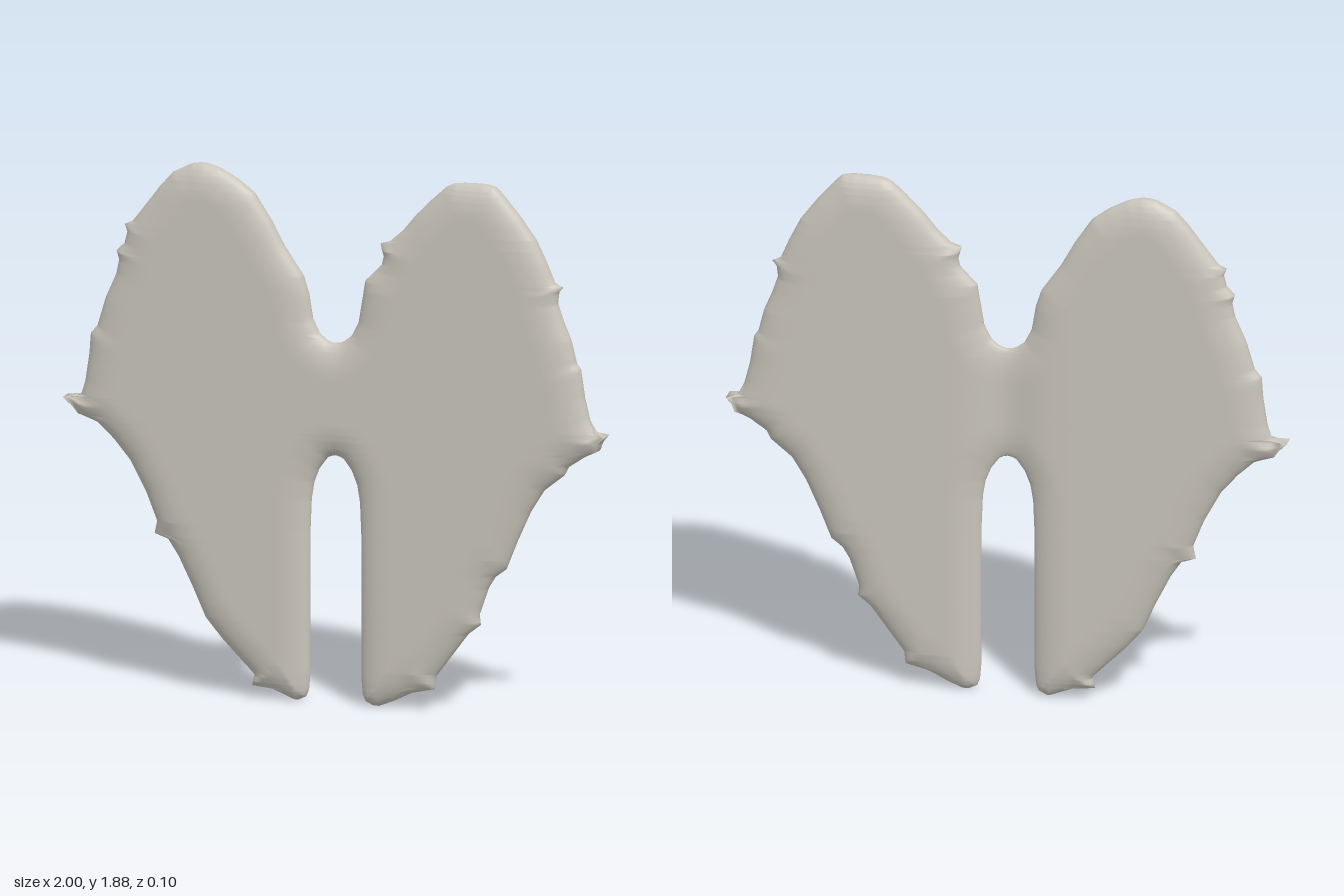
import * as THREE from 'three';
import { mergeVertices } from 'three/addons/utils/BufferGeometryUtils.js';

const HALF = 0.05;   // half thickness of the plate
const ROUND = 0.12;  // width of the rounded rim

// Outline points [distance from the midline, height], bottom to top
const innerLow = [[0.14, 0], [0.11, 0.015], [0.1, 0.04], [0.095, 0.1], [0.095, 0.6], [0.09, 0.72],
  [0.08, 0.78], [0.06, 0.83], [0.03, 0.87], [0.015, 0.877], [0, 0.88]];
const notch = [[0, 1.28], [0.015, 1.281], [0.03, 1.287], [0.06, 1.31], [0.085, 1.36], [0.1, 1.45]];

const leftInner = [...innerLow, ...notch, [0.11, 1.51], [0.14, 1.54], [0.17, 1.57], [0.178, 1.6],
  [0.165, 1.645], [0.2, 1.655], [0.25, 1.7], [0.3, 1.76], [0.36, 1.82], [0.41, 1.865], [0.44, 1.88], [0.5, 1.885]];
const leftOuter = [[0.16, 0], [0.22, 0.025], [0.28, 0.055], [0.365, 0.075], [0.37, 0.12], [0.43, 0.2],
  [0.49, 0.28], [0.535, 0.315], [0.53, 0.35], [0.565, 0.45], [0.59, 0.49], [0.63, 0.52], [0.67, 0.62],
  [0.72, 0.73], [0.77, 0.81], [0.845, 0.87], [0.86, 0.9], [0.92, 0.94], [0.97, 0.965], [0.98, 0.995],
  [1, 1.02], [0.96, 1.03], [0.94, 1.07], [0.92, 1.15], [0.905, 1.25], [0.89, 1.27], [0.87, 1.35],
  [0.84, 1.42], [0.82, 1.48], [0.825, 1.52], [0.84, 1.535], [0.81, 1.55], [0.78, 1.62], [0.74, 1.7],
  [0.68, 1.78], [0.61, 1.86], [0.59, 1.878], [0.55, 1.885]];

const rightInner = [...innerLow, ...notch, [0.12, 1.51], [0.19, 1.61], [0.24, 1.7], [0.3, 1.79],
  [0.36, 1.835], [0.43, 1.872], [0.48, 1.885]];
const rightOuter = [[0.15, 0], [0.2, 0.02], [0.24, 0.035], [0.31, 0.04], [0.3, 0.08], [0.35, 0.13],
  [0.42, 0.2], [0.48, 0.27], [0.53, 0.38], [0.58, 0.48], [0.62, 0.54], [0.67, 0.555], [0.66, 0.6],
  [0.7, 0.7], [0.76, 0.81], [0.82, 0.88], [0.88, 0.935], [0.95, 0.96], [0.97, 0.99], [1, 1.02],
  [0.94, 1.03], [0.925, 1.08], [0.91, 1.18], [0.905, 1.25], [0.88, 1.28], [0.85, 1.38], [0.81, 1.47],
  [0.8, 1.52], [0.81, 1.55], [0.78, 1.58], [0.77, 1.62], [0.78, 1.645], [0.75, 1.66], [0.68, 1.75],
  [0.65, 1.79], [0.6, 1.845], [0.53, 1.88], [0.5, 1.885]];

const halves = [
  { side: 1, inner: leftInner, outer: leftOuter },
  { side: -1, inner: rightInner, outer: rightOuter },
];

// Rim segments of both halves; the shared midline is not a rim
const rim = [];
for (const { side, inner, outer } of halves) {
  const loop = [...inner, ...[...outer].reverse()];
  loop.forEach((p, i) => {
    const q = loop[(i + 1) % loop.length];
    if (p[0] || q[0]) rim.push([p[0] * side, p[1], q[0] * side, q[1]]);
  });
}

function rimDistance(x, y) {
  let best = Infinity;
  for (const [ax, ay, bx, by] of rim) {
    const dx = bx - ax, dy = by - ay;
    const t = Math.min(1, Math.max(0, ((x - ax) * dx + (y - ay) * dy) / (dx * dx + dy * dy)));
    best = Math.min(best, Math.hypot(x - ax - t * dx, y - ay - t * dy));
  }
  return best;
}

// Width of an outline at height y
function widthAt(line, y) {
  for (let i = 1; i < line.length; i++) {
    const [ax, ay] = line[i - 1], [bx, by] = line[i];
    if (y <= by) return ax + (bx - ax) * Math.max(0, (y - ay) / (by - ay));
  }
  return line[line.length - 1][0];
}

// Elliptical rim, flat middle, slightly flared side tips
function thickness(x, y) {
  const d = rimDistance(x, y);
  const k = 1 - Math.min(1, d / ROUND);
  const round = d < 1e-5 ? 0 : HALF * Math.sqrt(1 - k * k);
  return Math.max(round, 0.03 * THREE.MathUtils.smoothstep(Math.abs(x), 0.92, 1));
}

// Heights of the cross-sections: every outline corner plus even-eased steps
function rowHeights() {
  const ys = halves.flatMap(h => [...h.inner, ...h.outer]).map(p => p[1]);
  for (const [a, b] of [[0, 0.88], [0.88, 1.28], [1.28, 1.885]])
    for (let i = 0; i <= 24; i++) ys.push(a + (b - a) * (1 - Math.cos(Math.PI * i / 24)) / 2);
  ys.sort((a, b) => a - b);
  return ys.filter((y, i) => i === 0 || y - ys[i - 1] > 1e-6);
}

function plateGeometry() {
  const cols = 40, ring = 2 * (cols + 1), rows = rowHeights();
  const positions = [], indices = [];
  for (const { side, inner, outer } of halves) {
    const base = positions.length / 3;
    for (const y of rows) {
      const a = widthAt(inner, y), b = widthAt(outer, y);
      const front = [], back = [];
      for (let c = 0; c <= cols; c++) {
        const x = side * (a + (b - a) * (1 - Math.cos(Math.PI * c / cols)) / 2);
        const t = thickness(x, y);
        const groove = 1 - 0.55 * Math.exp(-((x / 0.1) ** 2)); // shallow channel at the back
        front.push([x, y, t]);
        back.unshift([x, y, -t * groove]);
      }
      positions.push(...[...front, ...back].flat());
    }
    for (let r = 0; r < rows.length - 1; r++)
      for (let k = 0; k < ring - 1; k++) {
        const p = base + r * ring + k, q = p + 1, s = p + ring, t = s + 1;
        if (side > 0) indices.push(p, q, t, p, t, s);
        else indices.push(p, t, q, p, s, t);
      }
  }
  let geometry = new THREE.BufferGeometry();
  geometry.setAttribute('position', new THREE.Float32BufferAttribute(positions, 3));
  geometry.setIndex(indices);
  geometry = mergeVertices(geometry, 1e-4);
  geometry.computeVertexNormals();
  return geometry;
}

export function createModel() {
  const group = new THREE.Group();
  group.name = 'twoLobedPlate';
  const warmGrey = new THREE.MeshStandardMaterial({ color: 0xc8c4ba });
  warmGrey.name = 'warmGrey';
  const plate = new THREE.Mesh(plateGeometry(), warmGrey);
  plate.name = 'lobesAndBridge';
  group.add(plate);
  return group;
}
